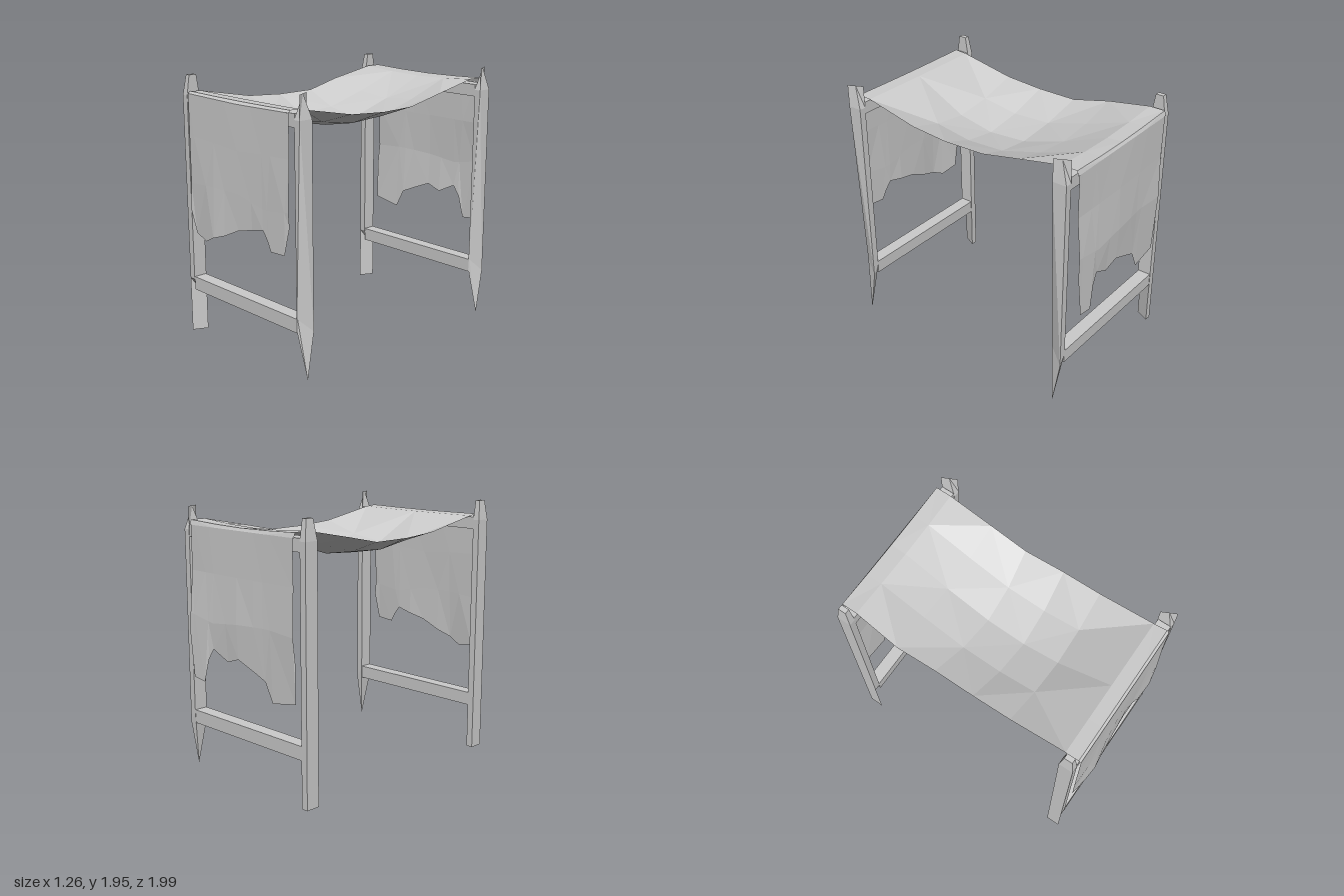
import * as THREE from 'three';

const wood = new THREE.MeshStandardMaterial({ color: 0xcccccc, flatShading: true, side: THREE.DoubleSide });

// Flat-shaded surface through rows of [x, y, z] points
function sheet(name, rows) {
  const pos = [];
  for (let r = 0; r < rows.length - 1; r++) {
    for (let c = 0; c < rows[r].length - 1; c++) {
      const a = rows[r][c], b = rows[r][c + 1], d = rows[r + 1][c], e = rows[r + 1][c + 1];
      if ((r + c) % 2) pos.push(...a, ...d, ...b, ...b, ...d, ...e);
      else pos.push(...a, ...d, ...e, ...a, ...e, ...b);
    }
  }
  const geo = new THREE.BufferGeometry();
  geo.setAttribute('position', new THREE.Float32BufferAttribute(pos, 3));
  geo.computeVertexNormals();
  const mesh = new THREE.Mesh(geo, wood);
  mesh.name = name;
  return mesh;
}

// Post lofted from four-cornered sections: outer front, inner front, inner back, outer back
function post(name, sections, z) {
  const rows = sections.map(s => [...s, s[0]].map(p => [p[0], p[1], p[2] + z]));
  const g = new THREE.Group();
  g.name = name;
  g.add(sheet(name + 'Sides', rows));
  const top = rows[rows.length - 1];
  g.add(sheet(name + 'Top', [[top[0], top[1]], [top[3], top[2]]]));
  return g;
}

const O = 0.63, I = 0.578, H = 0.053;
const full = (s, y) => [[s * O, y, H], [s * I, y, H], [s * I, y, -H], [s * O, y, -H]];
const middle = [(O + I) / 2, 1.945, 0];
const tip = [O, 0, 0.005];
// Section with the inner front corner cut off along the diagonal
const wedge = y => [[-O, y, H], [-(O + I) / 2, y, 0], [-I, y, -H], [-O, y, -H]];

// Left posts end in a spike and a ridge, right posts in a wedge and a narrowed top
const leftPost = [
  [tip, tip, tip, tip],
  [[0.585, 0.44, 0.05], [I, 0.36, H], [I, 0.42, -H], [O, 0.34, -H]],
  full(1, 1.78),
  [[O, 1.945, H], middle, [I, 1.945, -H], middle],
];
const rightPost = [
  wedge(0), wedge(0.34), full(-1, 0.42), full(-1, 1.8),
  [[-0.615, 1.945, 0.03], [-I, 1.945, 0.03], [-I, 1.945, -0.03], [-0.615, 1.945, -0.03]],
];

function rail(name, y, z, h, d) {
  const mesh = new THREE.Mesh(new THREE.BoxGeometry(2 * I, h, d), wood);
  mesh.name = name;
  mesh.position.set(0, y, z);
  return mesh;
}

// Value at x from a list of evenly spaced values across the cloth
function across(values, x) {
  const t = THREE.MathUtils.clamp((x + 0.56) / 1.12, 0, 0.999) * (values.length - 1);
  const i = Math.floor(t);
  return THREE.MathUtils.lerp(values[i], values[i + 1], t - i);
}

// Hanging flap: levels of [y values, z values] above a ragged hem of [x, y, z]
function flap(name, levels, hem) {
  const rows = levels.map(([ys, zs]) => hem.map(([x]) => [x * 0.985, across(ys, x), across(zs, x)]));
  return sheet(name, [...rows, hem]);
}

export function createModel() {
  const g = new THREE.Group();

  // Two end frames
  for (const [end, z] of [['front', 0.905], ['back', -0.885]]) {
    g.add(post(end + 'LeftPost', leftPost, z));
    g.add(post(end + 'RightPost', rightPost, z));
    g.add(rail(end + 'LowerRail', 0.39, z, 0.1, 0.1));
    g.add(rail(end + 'UpperRail', 1.775, z, 0.09, 0.1));
  }

  // Sagging cloth: z, edge height, middle height, middle z shift, right edge x, left edge x
  const profile = [
    [0.968, 1.82, 1.81, 0, -0.55, 0.535], [0.95, 1.835, 1.83, 0, -0.55, 0.535],
    [0.85, 1.828, 1.825, 0, -0.55, 0.53], [0.42, 1.745, 1.62, 0.02, -0.55, 0.545],
    [0.12, 1.725, 1.565, 0.04, -0.55, 0.55], [-0.19, 1.725, 1.585, 0.05, -0.55, 0.535],
    [-0.48, 1.785, 1.69, 0, -0.575, 0.535], [-0.83, 1.855, 1.83, 0, -0.55, 0.535],
    [-0.95, 1.855, 1.84, 0, -0.55, 0.535], [-0.962, 1.82, 1.82, 0, -0.55, 0.535],
  ];
  const sag = [0, 0.7, 1, 0.7, 0];
  g.add(sheet('saggingCloth', profile.map(([z, ye, ym, dz, x0, x1]) =>
    [x0, -0.275, 0, 0.27, x1].map((x, i) => [x, ye + (ym - ye) * sag[i], z + dz * sag[i]]))));

  // Torn hanging ends
  g.add(flap('frontFlap', [
    [[1.82, 1.815, 1.81, 1.815, 1.82], [0.968, 0.968, 0.968, 0.968, 0.968]],
    [[1.52, 1.51, 1.49, 1.51, 1.52], [0.969, 0.971, 0.974, 0.971, 0.969]],
    [[1.17, 1.19, 1.19, 1.13, 1.17], [0.97, 0.982, 0.976, 0.97, 0.982]],
  ], [[-0.56, 0.97, 0.975], [-0.51, 0.8, 0.965], [-0.37, 0.77, 0.985], [-0.27, 0.82, 0.997], [-0.15, 0.86, 0.985],
    [0, 0.93, 0.975], [0.14, 0.96, 0.968], [0.26, 0.99, 0.972], [0.31, 0.93, 0.976], [0.35, 0.86, 0.98],
    [0.5, 0.87, 0.988], [0.545, 1.07, 0.98]]));
  g.add(flap('backFlap', [
    [[1.82, 1.82, 1.82, 1.82, 1.82], [-0.962, -0.962, -0.962, -0.962, -0.962]],
    [[1.5, 1.5, 1.5, 1.5, 1.5], [-0.958, -0.962, -0.968, -0.966, -0.962]],
    [[1.17, 1.19, 1.18, 1.15, 1.2], [-0.968, -0.964, -0.982, -0.985, -0.99]],
  ], [[-0.545, 1.0, -0.955], [-0.535, 0.72, -0.946], [-0.31, 0.68, -0.948], [-0.24, 0.82, -0.952], [-0.15, 0.86, -0.958],
    [0.02, 0.93, -0.97], [0.14, 0.89, -0.965], [0.28, 0.96, -0.978], [0.33, 0.88, -0.985], [0.37, 0.71, -0.995],
    [0.49, 0.725, -0.995], [0.53, 1.05, -0.992]]));
  return g;
}
